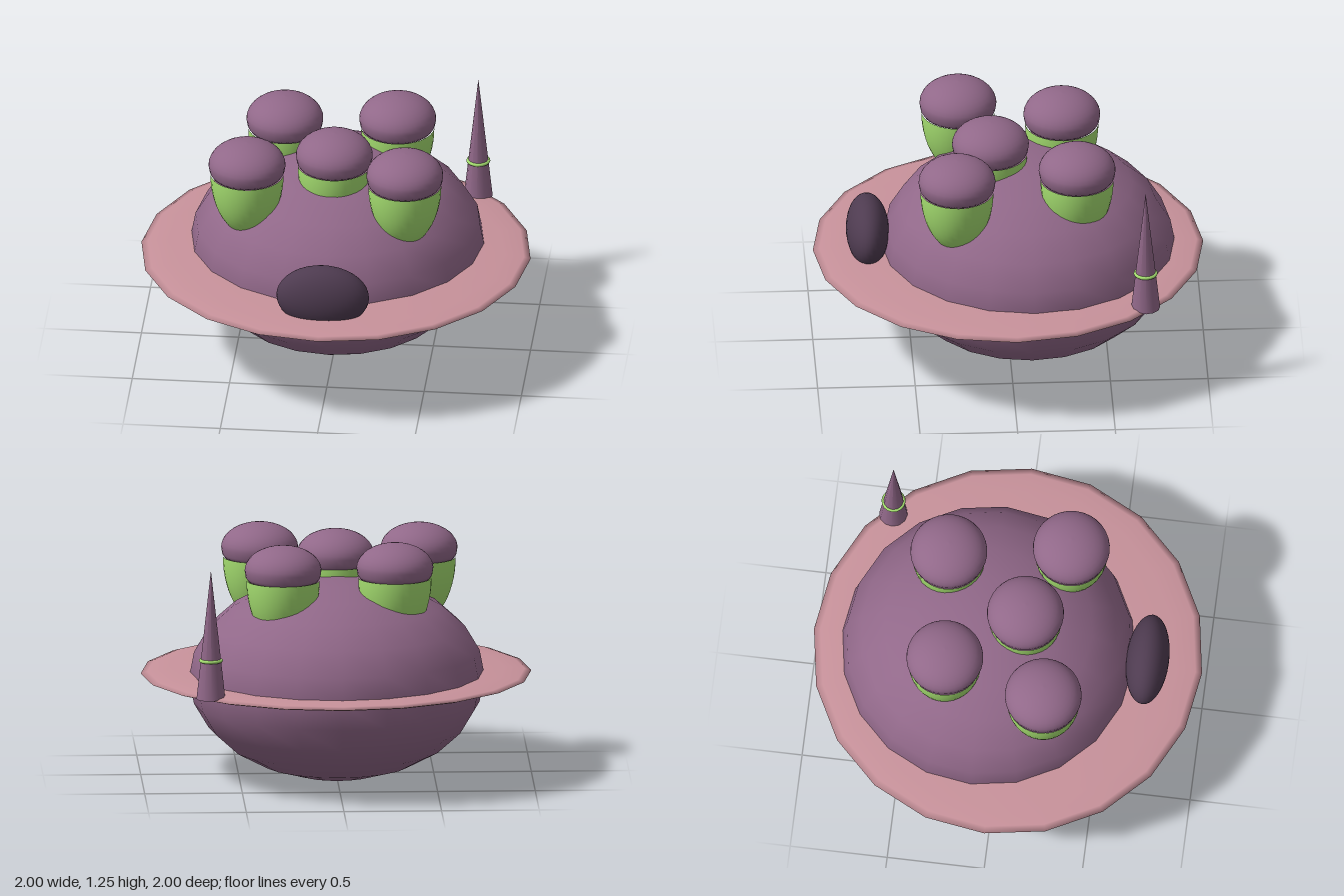
import * as THREE from 'three';

const material = (name, color, side = THREE.FrontSide) => {
  const m = new THREE.MeshStandardMaterial({ color, side });
  m.name = name;
  return m;
};

export function createModel() {
  const purple = material('purple', 0x916889);
  const pink = material('dusty pink', 0xc8929b);
  const green = material('light green', 0xa5de70);
  const dark = material('dark plum', 0x4e3b50);

  const model = new THREE.Group();
  model.name = 'mushroomSaucer';

  const add = (name, geometry, mat, x, y, z, parent = model) => {
    const mesh = new THREE.Mesh(geometry, mat);
    mesh.name = name;
    mesh.position.set(x, y, z);
    parent.add(mesh);
    return mesh;
  };
  const ellipsoid = (rx, ry, rz, across, rings) =>
    new THREE.SphereGeometry(1, across, rings).scale(rx, ry, rz);

  // Main body, set slightly back on the flat brim
  add('body', ellipsoid(0.757, 0.523, 0.757, 20, 12), purple, 0, 0.525, -0.1);
  add('brim', ellipsoid(1, 0.04, 1, 20, 12), pink, 0, 0.53, 0);
  add('nose', ellipsoid(0.238, 0.17, 0.11, 32, 20), dark, 0, 0.645, 0.72);

  // Mushroom cap: domed top with a rounded rim
  const capProfile = [[0, 0], [0.178, 0], [0.191, 0.02]];
  for (let i = 0; i <= 10; i++) {
    const a = (i / 10) * Math.PI / 2;
    capProfile.push([0.197 * Math.cos(a), 0.055 + 0.127 * Math.sin(a)]);
  }
  const capGeometry = new THREE.LatheGeometry(
    capProfile.map(([r, y]) => new THREE.Vector2(Math.max(r, 0), y)), 32);

  // Stem: a deep bowl sinking into the body
  const stemGeometry = new THREE.SphereGeometry(
    1, 32, 14, 0, Math.PI * 2, Math.PI / 2, Math.PI / 2).scale(0.188, 0.335, 0.188);

  const spots = [[-0.29, -0.29], [0.285, -0.34], [0, 0.09], [-0.435, 0.235], [0.38, 0.28]];
  spots.forEach(([x, z], i) => {
    const mushroom = new THREE.Group();
    mushroom.name = `mushroom${i + 1}`;
    mushroom.position.set(x, 1.075, z);
    add('cap', capGeometry, purple, 0, 0, 0, mushroom);
    add('stem', stemGeometry, green, 0, 0.005, 0, mushroom);
    model.add(mushroom);
  });

  // Ringed spike near the back edge of the brim
  const spike = new THREE.Group();
  spike.name = 'spike';
  spike.position.set(0.668, 0.53, -0.672);
  add('cone', new THREE.ConeGeometry(0.074, 0.67, 12), purple, 0, 0.335, 0, spike);
  add('ring', new THREE.TorusGeometry(0.053, 0.009, 8, 16).rotateX(Math.PI / 2),
    green, 0, 0.2, 0, spike);
  model.add(spike);

  return model;
}
